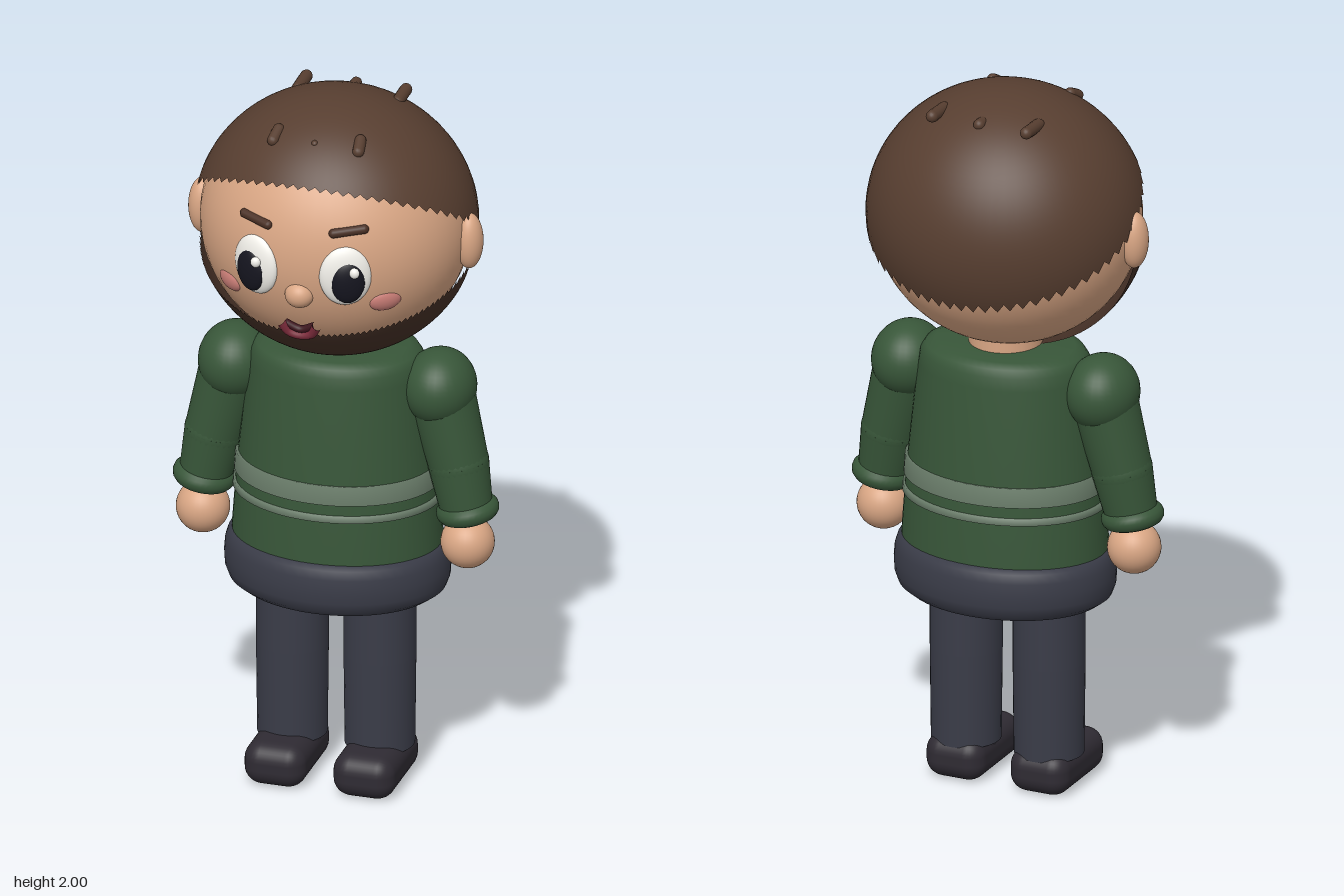
import * as THREE from 'three';
import { RoundedBoxGeometry } from 'three/addons/geometries/RoundedBoxGeometry.js';

const V = (x, y, z) => new THREE.Vector3(x, y, z);
const mat = (color, side = THREE.FrontSide) => new THREE.MeshStandardMaterial({ color, side });

const skin = mat(0xd9a684), hairMat = mat(0x573e30, THREE.DoubleSide);
const beardMat = mat(0x453026, THREE.DoubleSide), shirt = mat(0x385639);
const shirtOpen = mat(0x385639, THREE.DoubleSide), stripe = mat(0x6c7f6c, THREE.DoubleSide);
const trousers = mat(0x3a3c48), shoeMat = mat(0x2f2b33), white = mat(0xf2f0ea);
const pupilMat = mat(0x15151f), cheekMat = mat(0xcc7f78), lipMat = mat(0x7d2c3c), mouthMat = mat(0x3c141c);
const browMat = mat(0x4a3025);

export function createModel() {
  const model = new THREE.Group();
  const HEAD_Y = 1.635;

  const add = (name, geo, material, pos = [0, 0, 0], parent = model) => {
    const m = new THREE.Mesh(geo, material);
    m.name = name;
    m.position.set(...pos);
    parent.add(m);
    return m;
  };
  const ellipsoid = (name, material, pos, r, yaw = 0, pitch = 0, seg = 32) => {
    const m = add(name, new THREE.SphereGeometry(1, seg, Math.round(seg * 0.75)), material, pos);
    m.scale.set(...r);
    m.rotation.set(pitch, yaw, 0, 'YXZ');
    return m;
  };
  // Tapered cylinder between two points
  const limb = (name, material, a, b, ra, rb, seg = 32) => {
    const d = b.clone().sub(a);
    const m = add(name, new THREE.CylinderGeometry(rb, ra, d.length(), seg), material);
    m.position.copy(a).addScaledVector(d, 0.5);
    m.quaternion.setFromUnitVectors(V(0, 1, 0), d.normalize());
    return m;
  };
  const capsule = (name, material, a, b, r) => {
    const d = b.clone().sub(a);
    const m = add(name, new THREE.CapsuleGeometry(r, d.length(), 6, 14), material);
    m.position.copy(a).addScaledVector(d, 0.5);
    m.quaternion.setFromUnitVectors(V(0, 1, 0), d.normalize());
    return m;
  };
  // Ellipsoid shell kept above or below the slanted plane y = c - k z
  const cutShell = (name, material, [rx, ry, rz], c, k, above, phiLength) => {
    const geo = new THREE.SphereGeometry(1, 64, 28, 0, phiLength);
    const { position: p, normal: n, uv } = geo.attributes;
    for (let i = 0; i < p.count; i++) {
      const phi = uv.getX(i) * phiLength, v = 1 - uv.getY(i);
      const B = k * rz * Math.sin(phi);
      const edge = Math.atan2(B, ry) + Math.acos(c / Math.hypot(ry, B));
      const t = above ? v * edge : edge + v * (Math.PI - edge);
      const d = V(-Math.cos(phi) * Math.sin(t), Math.cos(t), Math.sin(phi) * Math.sin(t));
      p.setXYZ(i, d.x * rx, d.y * ry, d.z * rz);
      d.set(d.x / rx, d.y / ry, d.z / rz).normalize();
      n.setXYZ(i, d.x, d.y, d.z);
    }
    return add(name, geo, material, [0, HEAD_Y, 0]);
  };
  // Lathe flattened from front to back
  const oval = (name, material, points, depth) => {
    const geo = new THREE.LatheGeometry(points.map(q => new THREE.Vector2(...q)), 56);
    geo.scale(1, 1, depth);
    return add(name, geo, material, [0, 0, -0.012]);
  };
  const tube = (name, material, pts, r) =>
    add(name, new THREE.TubeGeometry(new THREE.CatmullRomCurve3(pts), 24, r, 10), material);

  // Head, hair and beard
  ellipsoid('head', skin, [0, HEAD_Y, 0], [0.368, 0.352, 0.346], 0, 0, 56);
  cutShell('hair', hairMat, [0.385, 0.365, 0.36], 0.03, -0.61, true, Math.PI * 2);
  cutShell('beard', beardMat, [0.386, 0.375, 0.358], -0.07, 0.475, false, Math.PI);
  add('neck', new THREE.CylinderGeometry(0.1, 0.1, 0.1, 32), skin, [0, 1.28, -0.01]);

  // Face
  ellipsoid('nose', skin, [0, 1.553, 0.328], [0.04, 0.037, 0.037]);
  tube('lip', lipMat, [V(-0.05, 1.466, 0.333), V(-0.032, 1.437, 0.322), V(0, 1.428, 0.318),
    V(0.032, 1.437, 0.322), V(0.05, 1.466, 0.333)], 0.013);
  tube('mouthLine', mouthMat, [V(-0.042, 1.462, 0.322), V(0, 1.445, 0.318), V(0.042, 1.462, 0.322)], 0.011);

  for (const s of [-1, 1]) {
    const side = s > 0 ? 'left' : 'right';
    ellipsoid(side + 'Ear', skin, [s * 0.375, 1.62, 0.005], [0.038, 0.08, 0.042]);
    ellipsoid(side + 'Eye', white, [s * 0.125, 1.62, 0.314], [0.071, 0.086, 0.028], s * 0.38);
    ellipsoid(side + 'Pupil', pupilMat, [s * 0.136, 1.607, 0.327], [0.046, 0.061, 0.02], s * 0.4);
    ellipsoid(side + 'EyeHighlight', white, [s * 0.137 + 0.02, 1.64, 0.342 - s * 0.006],
      [0.014, 0.015, 0.012]);
    ellipsoid(side + 'Cheek', cheekMat, [s * 0.215, 1.533, 0.25], [0.047, 0.033, 0.02], s * 0.66, 0.2);
    capsule(side + 'Brow', browMat, V(s * 0.092, 1.741, 0.317), V(s * 0.168, 1.75, 0.284), 0.013);

    // Small tufts on the hair
    capsule(side + 'FrontTuft', hairMat, V(s * 0.115, 1.945, 0.15), V(s * 0.12, 1.928, 0.185), 0.016);
    capsule(side + 'BackTuft', hairMat, V(s * 0.14, 1.95, -0.1), V(s * 0.14, 1.953, -0.175), 0.017);
  }
  ellipsoid('frontTuft', hairMat, [0, 1.937, 0.192], [0.01, 0.01, 0.01]);
  capsule('backTuft', hairMat, V(0, 1.95, -0.13), V(0, 1.953, -0.175), 0.016);

  // Sweater body with two bands
  oval('sweater', shirtOpen, [[0.29, 0.66], [0.288, 0.72], [0.275, 0.9], [0.256, 1.08], [0.242, 1.2],
    [0.236, 1.235], [0.222, 1.256], [0.195, 1.268], [0.1, 1.272], [0, 1.272]], 0.79);
  oval('wideBand', stripe, [[0.275, 0.878], [0.283, 0.878], [0.279, 0.932], [0.27, 0.932]], 0.795);
  oval('thinBand', stripe, [[0.278, 0.828], [0.287, 0.828], [0.285, 0.847], [0.275, 0.847]], 0.795);

  // Trouser hips
  oval('hips', trousers, [[0, 0.545], [0.24, 0.545], [0.275, 0.551], [0.298, 0.568], [0.308, 0.595],
    [0.31, 0.63], [0.307, 0.665], [0.299, 0.69], [0.285, 0.703], [0.2, 0.706]], 0.8);

  for (const s of [-1, 1]) {
    const side = s > 0 ? 'left' : 'right';
    const shoulder = V(s * 0.287, 1.17, -0.01), elbow = V(s * 0.342, 0.955, -0.003);
    const wrist = V(s * 0.37, 0.81, 0.005);

    // Arm
    ellipsoid(side + 'Shoulder', shirt, shoulder.toArray(), [0.1, 0.106, 0.112]);
    limb(side + 'UpperSleeve', shirt, shoulder, elbow, 0.092, 0.082);
    ellipsoid(side + 'Elbow', shirt, elbow.toArray(), [0.083, 0.083, 0.083]);
    limb(side + 'LowerSleeve', shirt, elbow, wrist, 0.083, 0.07);
    const cuff = add(side + 'Cuff', new THREE.TorusGeometry(0.058, 0.028, 14, 36), shirt,
      [s * 0.37, 0.822, 0.004]);
    cuff.rotation.set(Math.PI / 2, s * 0.18, 0);
    ellipsoid(side + 'Hand', skin, [s * 0.372, 0.73, 0.01], [0.073, 0.073, 0.073]);

    // Leg and shoe
    const x = s * 0.123;
    limb(side + 'Thigh', trousers, V(x, 0.365, 0.002), V(x, 0.62, 0.002), 0.098, 0.098);
    limb(side + 'Shin', trousers, V(x, 0.1, 0.002), V(x, 0.365, 0.002), 0.095, 0.098);
    ellipsoid(side + 'Ankle', shoeMat, [x, 0.09, 0.01], [0.083, 0.045, 0.098]);
    add(side + 'Shoe', new RoundedBoxGeometry(0.172, 0.122, 0.29, 4, 0.05), shoeMat,
      [s * 0.125, 0.061, 0.046]);
  }
  return model;
}
